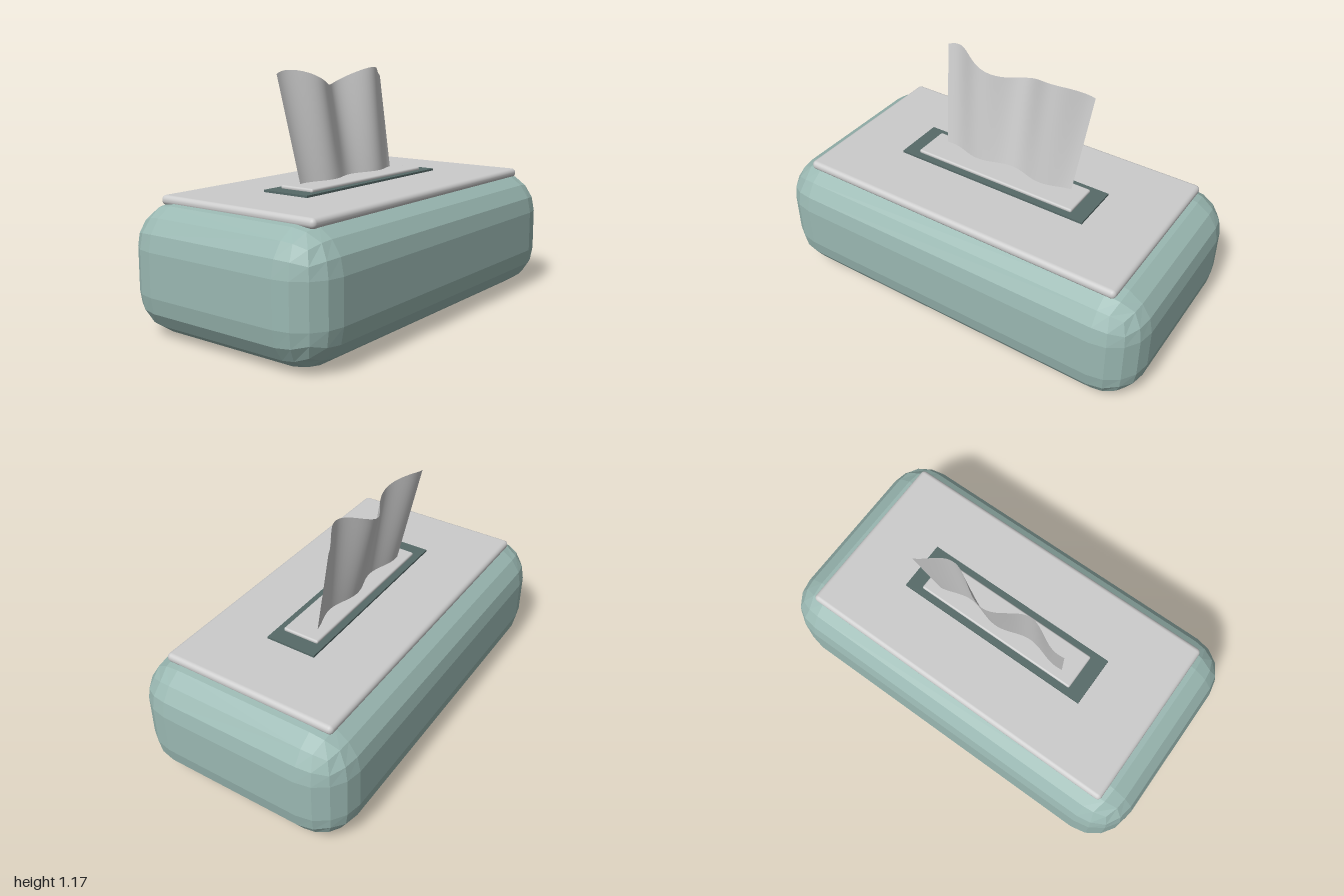
import * as THREE from 'three';
import { RoundedBoxGeometry } from 'three/addons/geometries/RoundedBoxGeometry.js';

const GREY = 0xcccccc, TEAL = 0x9ab8b2, DARK = 0x566a68;

function part(name, geometry, color, options = {}) {
  const mesh = new THREE.Mesh(geometry, new THREE.MeshStandardMaterial({ color, ...options }));
  mesh.name = name;
  return mesh;
}

// Box with evenly faceted round edges, four facets per quarter turn
function facetedBox(w, h, d, r) {
  const geo = new THREE.BoxGeometry(1, 1, 1, 5, 5, 5);
  const pos = geo.attributes.position;
  const p = new THREE.Vector3(), n = new THREE.Vector3();
  const bend = (c) => Math.sign(c) * Math.tan(((Math.abs(c) - 0.1) / 0.4) * Math.PI / 4);
  for (let i = 0; i < pos.count; i++) {
    p.fromBufferAttribute(pos, i);
    n.set(bend(p.x), bend(p.y), bend(p.z)).normalize().multiplyScalar(r);
    pos.setXYZ(i,
      Math.sign(p.x) * (w / 2 - r) + n.x,
      Math.sign(p.y) * (h / 2 - r) + n.y,
      Math.sign(p.z) * (d / 2 - r) + n.z);
  }
  geo.computeVertexNormals();
  return geo;
}

// Wavy sheet that widens, leans back and ripples more towards its top edge
function tissueSheet() {
  const geo = new THREE.PlaneGeometry(1, 1, 40, 12);
  const pos = geo.attributes.position;
  const base = 0.64;
  for (let i = 0; i < pos.count; i++) {
    const x = pos.getX(i) * 0.81;
    const v = pos.getY(i) + 0.5;
    const top = 1.13 + 0.04 * Math.cos((2 * Math.PI * (x - 0.24)) / 0.56);
    const ripple = Math.cos((2 * Math.PI * (x - 0.03)) / 0.4);
    pos.setXYZ(i,
      x * (0.89 + 0.11 * v),
      base + (top - base) * v,
      -0.024 - 0.081 * v - (0.019 + 0.021 * v) * ripple);
  }
  geo.computeVertexNormals();
  return geo;
}

export function createModel() {
  const model = new THREE.Group();
  model.name = 'tissueBox';

  // Soft-cornered body
  const body = part('body', facetedBox(2, 0.603, 1.11, 0.2), TEAL, { flatShading: true });
  body.position.y = 0.3015;

  // Lid plate set into the top
  const lid = part('lid', new RoundedBoxGeometry(1.7, 0.046, 0.89, 3, 0.022), GREY);
  lid.position.y = 0.602;

  // Dark frame around the opening
  const frame = part('openingFrame', new THREE.BoxGeometry(1.03, 0.014, 0.256), DARK);
  frame.position.y = 0.628;

  // Pale slot panel
  const panel = part('slotPanel', new RoundedBoxGeometry(0.876, 0.02, 0.188, 3, 0.009), GREY);
  panel.position.y = 0.64;

  // Tissue standing out of the slot
  const tissue = part('tissue', tissueSheet(), GREY, { side: THREE.DoubleSide });

  model.add(body, lid, frame, panel, tissue);
  return model;
}
